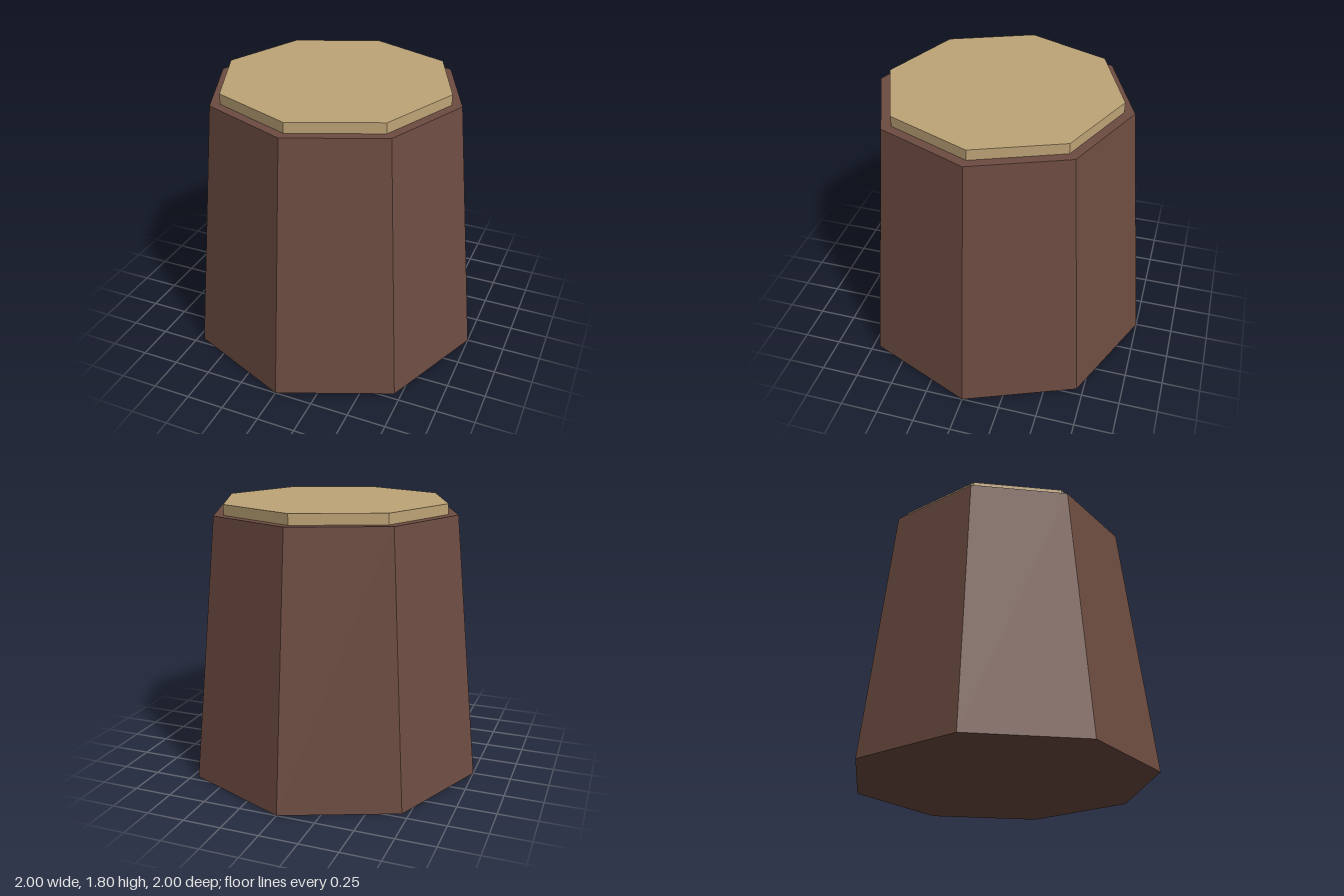
import * as THREE from 'three';

const SIDES = 8;
const BARK_HEIGHT = 1.737;
const TOTAL_HEIGHT = 1.805;

export function createModel() {
  const group = new THREE.Group();
  group.name = 'treeStump';

  const bark = new THREE.MeshStandardMaterial({ color: 0x6d4c41, flatShading: true });
  bark.name = 'bark brown';
  const wood = new THREE.MeshStandardMaterial({ color: 0xbfa577, flatShading: true });
  wood.name = 'cut wood tan';

  // Octagonal prism standing between two heights
  function addPrism(name, topRadius, bottomRadius, y0, y1, material) {
    const geometry = new THREE.CylinderGeometry(topRadius, bottomRadius, y1 - y0, SIDES);
    const mesh = new THREE.Mesh(geometry, material);
    mesh.name = name;
    mesh.position.y = (y0 + y1) / 2;
    group.add(mesh);
  }

  // Tapered trunk
  addPrism('trunk', 0.826, 1, 0, BARK_HEIGHT, bark);
  // Pale cut face, a thin slab on top
  addPrism('cutTop', 0.76, 0.76, BARK_HEIGHT, TOTAL_HEIGHT, wood);

  return group;
}
